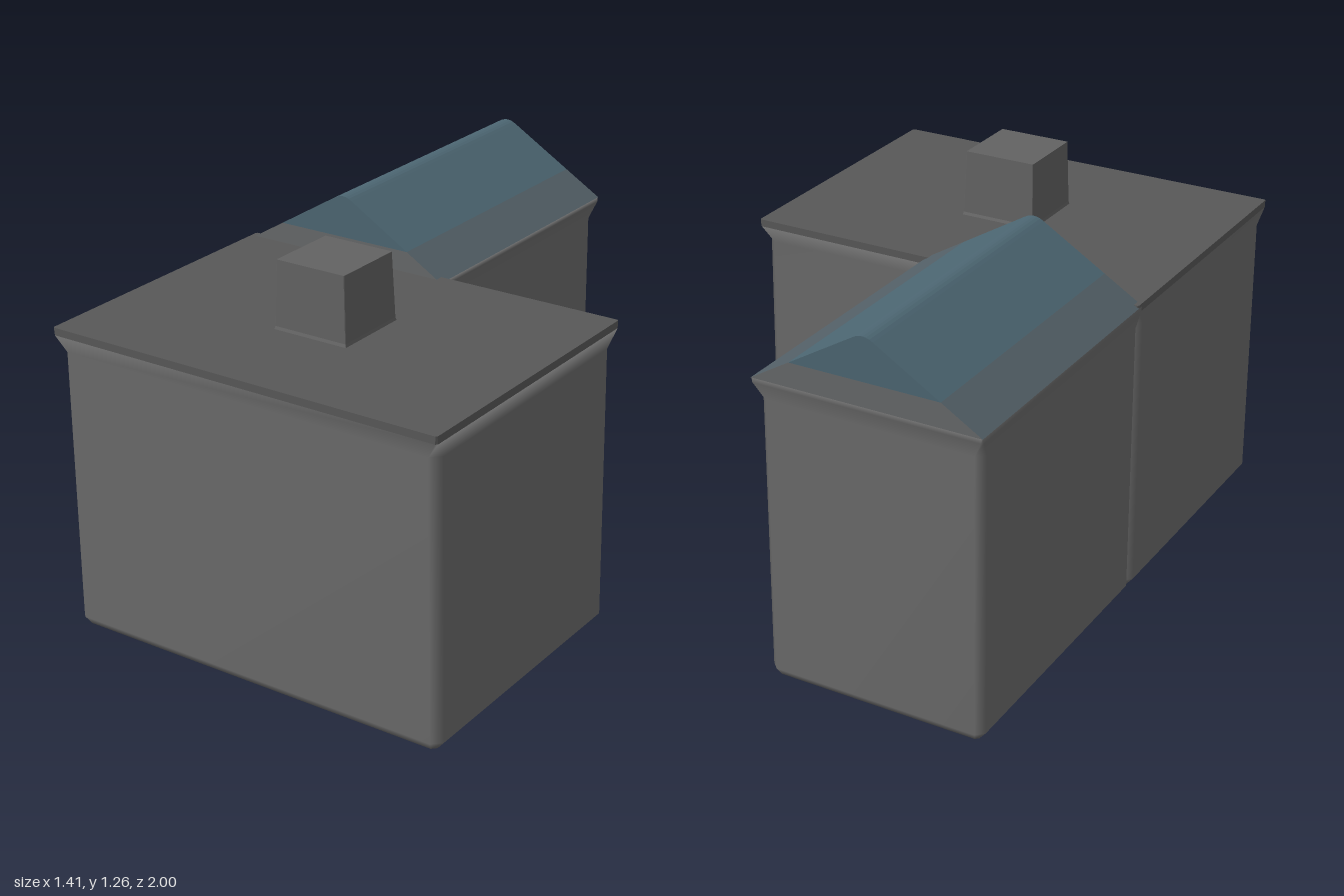
import * as THREE from 'three';

const paint = (color, flatShading = true) => new THREE.MeshStandardMaterial({ color, flatShading });
const wall = paint(0x6b6b6b, false);
const deck = paint(0x585858);
const stone = paint(0x626262);
const gableGrey = paint(0x666869);
const eaveBlue = paint(0x536067);
const ridgeBlue = paint(0x4c6672);

// Closed solid through a stack of rectangles [y, x0, x1, z0, z1, c] with corners cut by c.
function loft(rings) {
  const pos = [], index = [], n = 8;
  for (const [y, x0, x1, z0, z1, c] of rings) {
    const corners = [
      [x0 + c, z1], [x1 - c, z1], [x1, z1 - c], [x1, z0 + c],
      [x1 - c, z0], [x0 + c, z0], [x0, z0 + c], [x0, z1 - c],
    ];
    for (const [x, z] of corners) pos.push(x, y, z);
  }
  for (let r = 0; r < rings.length - 1; r++) {
    for (let i = 0; i < n; i++) {
      const a = r * n + i, b = r * n + (i + 1) % n;
      index.push(a, b, b + n, a, b + n, a + n);
    }
  }
  const top = (rings.length - 1) * n;
  for (let i = 1; i < n - 1; i++) {
    index.push(0, i + 1, i);
    index.push(top, top + i, top + i + 1);
  }
  const geo = new THREE.BufferGeometry();
  geo.setAttribute('position', new THREE.Float32BufferAttribute(pos, 3));
  geo.setIndex(index);
  geo.computeVertexNormals();
  return geo;
}

export function createModel() {
  const group = new THREE.Group();
  const add = (name, geo, material) => {
    const mesh = new THREE.Mesh(geo, material);
    mesh.name = name;
    group.add(mesh);
  };

  // Front block: softened foot, straight walls and flared cornice
  add('mainBlock', loft([
    [0, -0.675, 0.675, 0.025, 0.965, 0.015],
    [0.03, -0.7, 0.7, 0.01, 0.984, 0.03],
    [0.96, -0.694, 0.694, 0.01, 0.984, 0.03],
    [1.015, -0.703, 0.703, -0.012, 1.0, 0.006],
  ]), wall);

  // Flat roof over the front block
  add('flatRoof', loft([
    [1.015, -0.703, 0.703, -0.012, 1.0, 0.006],
    [1.04, -0.703, 0.703, -0.012, 1.0, 0.004],
  ]), deck);

  // Rear wing walls, the foot running under the front block
  add('rearWing', loft([
    [0, -0.675, 0.03, -0.965, 0.04, 0.01],
    [0.03, -0.7, 0.05, -0.985, 0.015, 0.025],
    [0.96, -0.694, 0.05, -0.985, 0.015, 0.025],
    [1.015, -0.703, 0.065, -1.0, 0.015, 0.006],
    [1.03, -0.703, 0.065, -1.0, 0.015, 0.004],
  ]), wall);

  // Gabled roof in two bands: greyer eaves, blue upper slopes with a softened ridge
  const addBand = (name, shape, materials) => {
    const geo = new THREE.ExtrudeGeometry(shape, { depth: 1.015, bevelEnabled: false, curveSegments: 6 });
    geo.translate(0, 0, -1);
    add(name, geo, materials);
  };
  const eaves = new THREE.Shape();
  eaves.moveTo(-0.703, 1.03);
  eaves.lineTo(0.065, 1.03);
  eaves.lineTo(-0.068, 1.11);
  eaves.lineTo(-0.57, 1.11);
  eaves.closePath();
  addBand('roofEaves', eaves, [gableGrey, eaveBlue]);

  const ridge = new THREE.Shape();
  ridge.moveTo(-0.57, 1.11);
  ridge.lineTo(-0.068, 1.11);
  ridge.lineTo(-0.285, 1.241);
  ridge.quadraticCurveTo(-0.319, 1.263, -0.353, 1.241);
  ridge.closePath();
  addBand('roofRidge', ridge, ridgeBlue);

  // Chimney, slightly tapered
  add('chimney', loft([
    [1.03, -0.137, 0.137, 0.363, 0.637, 0.002],
    [1.05, -0.132, 0.132, 0.368, 0.632, 0.002],
    [1.265, -0.125, 0.125, 0.375, 0.625, 0.002],
  ]), stone);

  return group;
}
